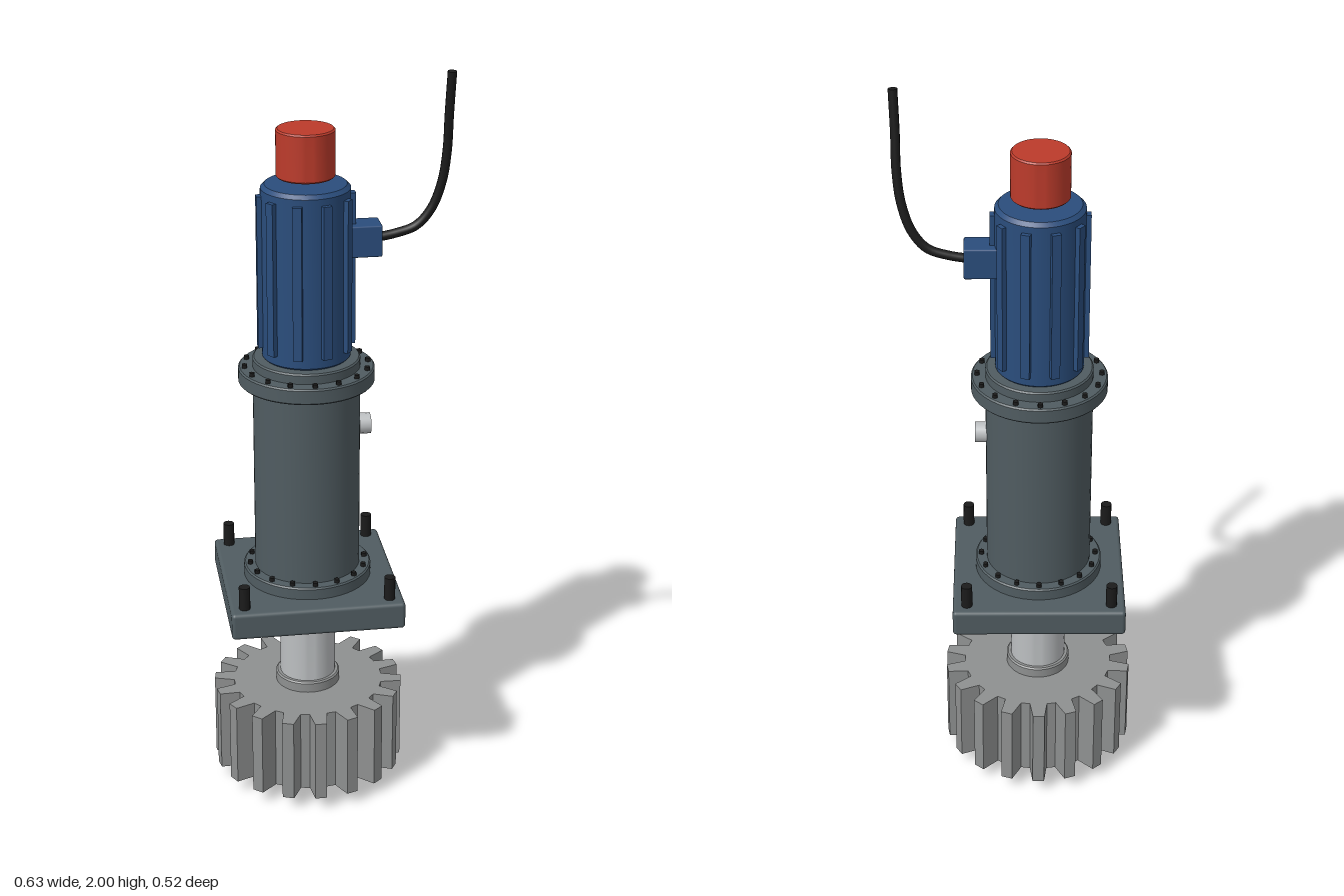
import * as THREE from 'three';
import { toCreasedNormals } from 'three/addons/utils/BufferGeometryUtils.js';
import { RoundedBoxGeometry } from 'three/addons/geometries/RoundedBoxGeometry.js';

const paint = (name, color) => {
  const m = new THREE.MeshStandardMaterial({ color });
  m.name = name;
  return m;
};

export function createModel() {
  const housingGrey = paint('housing grey', 0x505c61);
  const motorBlue = paint('motor blue', 0x2a4d7c);
  const capRed = paint('cap red', 0xbc3b2b);
  const gearGrey = paint('gear grey', 0x8e9090);
  const shaftSilver = paint('shaft silver', 0xbcbfc1);
  const black = paint('black', 0x1b1b1b);

  const model = new THREE.Group();
  model.name = 'gearMotor';
  // Everything but the cable is set around one upright axis
  const drive = new THREE.Group();
  drive.name = 'drive';
  drive.position.x = -0.061;
  model.add(drive);

  const add = (name, geometry, material, x = 0, y = 0, z = 0, parent = drive) => {
    const mesh = new THREE.Mesh(geometry, material);
    mesh.name = name;
    mesh.position.set(x, y, z);
    parent.add(mesh);
    return mesh;
  };

  // Solid disc from y0 to y1 with a small chamfer on both rims
  const disc = (name, r, y0, y1, material, c = 0.004) => {
    const profile = [[0, y0], [r - c, y0], [r, y0 + c], [r, y1 - c], [r - c, y1], [0, y1]]
      .map(([x, y]) => new THREE.Vector2(x, y));
    return add(name, toCreasedNormals(new THREE.LatheGeometry(profile, 48), 0.5), material);
  };

  // Spur gear, 18 tapered teeth
  const teeth = 18, root = 0.205, tip = 0.26;
  const outline = [];
  for (let i = 0; i < teeth; i++) {
    const a = Math.PI / 2 + (i * 2 * Math.PI) / teeth;
    for (const [r, w] of [[root, -0.0235], [tip, -0.016], [tip, 0.016], [root, 0.0235]]) {
      outline.push(new THREE.Vector2(
        r * Math.cos(a) - w * Math.sin(a), r * Math.sin(a) + w * Math.cos(a)));
    }
  }
  const gear = new THREE.ExtrudeGeometry(new THREE.Shape(outline),
    { depth: 0.235, bevelEnabled: false });
  gear.rotateX(-Math.PI / 2);
  add('gear', gear, gearGrey, 0, 0.04, 0);
  disc('gearHub', 0.088, 0.002, 0.305, gearGrey);
  disc('shaft', 0.076, 0.3, 0.54, shaftSilver, 0.001);

  // Mounting plate with four studs
  add('mountingPlate', new RoundedBoxGeometry(0.466, 0.075, 0.466, 3, 0.01), housingGrey, 0, 0.5725, 0);
  for (const x of [-0.195, 0.195]) {
    for (const z of [-0.195, 0.195]) {
      add('plateStud', new THREE.CylinderGeometry(0.015, 0.015, 0.08, 12), black, x, 0.634, z);
    }
  }

  // Gearbox housing between two bolted flanges
  disc('gearboxHousing', 0.142, 0.6, 1.245, housingGrey);
  disc('lowerFlange', 0.173, 0.605, 0.643, housingGrey);
  disc('upperFlange', 0.18, 1.175, 1.218, housingGrey);
  const boltRing = (name, radius, y) => {
    const geometry = new THREE.CylinderGeometry(0.0075, 0.0075, 0.014, 6);
    for (let i = 0; i < 16; i++) {
      const a = (i * Math.PI) / 8;
      add(name, geometry, black, radius * Math.cos(a), y, radius * Math.sin(a));
    }
  };
  boltRing('lowerFlangeBolt', 0.157, 0.646);
  boltRing('upperFlangeBolt', 0.164, 1.221);

  // Filler plug on the left of the housing
  add('fillerPlug', new THREE.CylinderGeometry(0.028, 0.028, 0.05, 16), shaftSilver, 0.146, 1.04, 0)
    .rotation.z = -Math.PI / 2;

  // Motor with ten cooling fins, and its cap
  disc('motorBody', 0.116, 1.24, 1.713, motorBlue, 0.01);
  for (let i = 0; i < 10; i++) {
    const a = (i * Math.PI) / 5;
    add('coolingFin', new THREE.BoxGeometry(0.03, 0.41, 0.024), motorBlue,
      0.113 * Math.cos(a), 1.48, -0.113 * Math.sin(a)).rotation.y = a;
  }
  disc('motorCap', 0.076, 1.731, 1.857, capRed);

  // Terminal box and its cable
  add('terminalBox', new RoundedBoxGeometry(0.095, 0.084, 0.075, 2, 0.004), motorBlue, 0.1465, 1.56, 0);
  const path = new THREE.CatmullRomCurve3([
    [0.125, 1.56, 0], [0.17, 1.568, 0], [0.225, 1.587, 0.002], [0.263, 1.632, 0.008],
    [0.288, 1.705, 0.017], [0.298, 1.79, 0.027], [0.299, 1.89, 0.039], [0.302, 2, 0.05],
  ].map((p) => new THREE.Vector3(...p)));
  add('cable', new THREE.TubeGeometry(path, 48, 0.012, 10), black, 0, 0, 0, model);
  const end = add('cableEnd', new THREE.CircleGeometry(0.012, 10), black, 0.302, 2, 0.05, model);
  end.quaternion.setFromUnitVectors(new THREE.Vector3(0, 0, 1), path.getTangent(1));

  return model;
}
